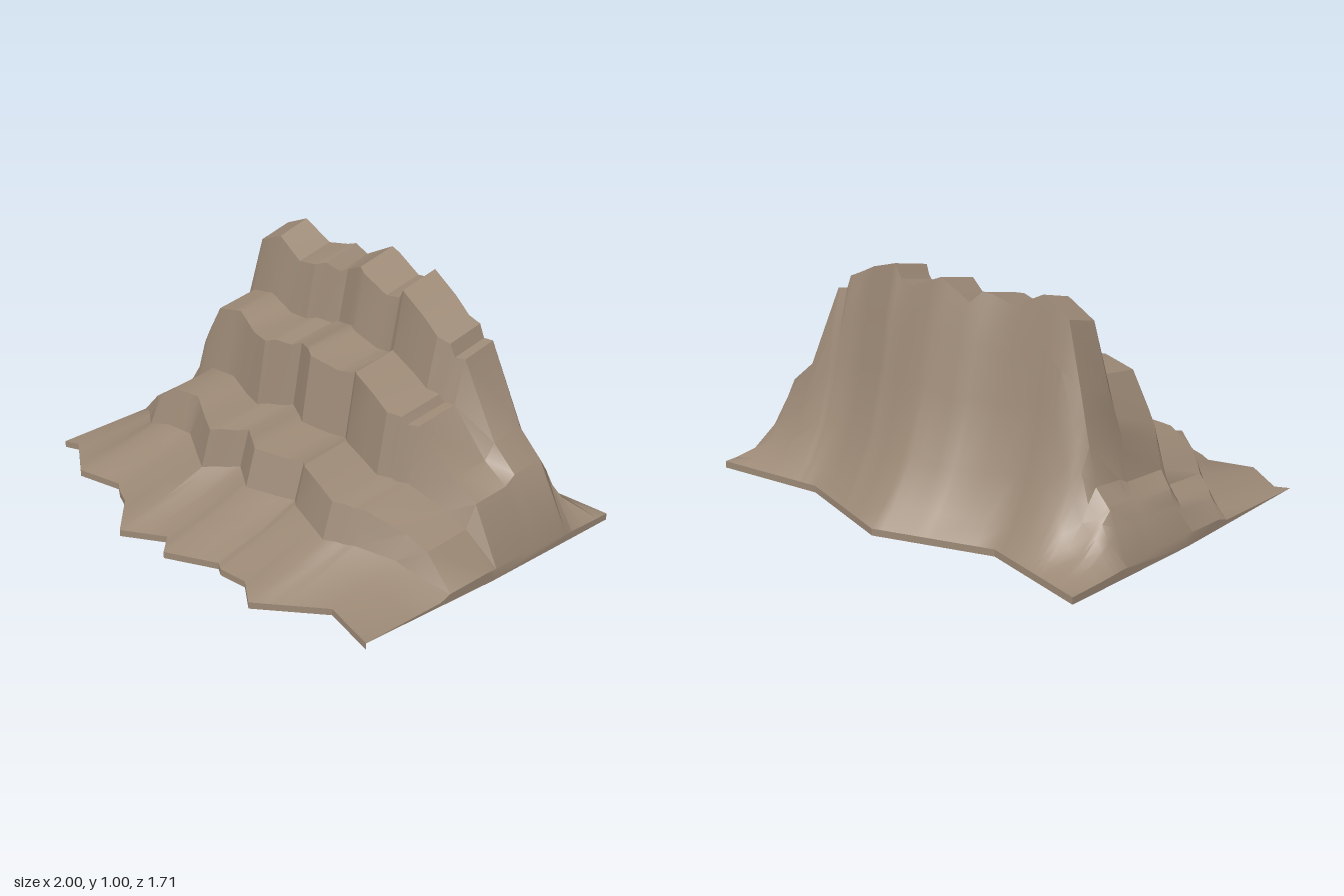
import * as THREE from 'three';
import { toCreasedNormals } from 'three/addons/utils/BufferGeometryUtils.js';

// piecewise linear lookup in a list of [x, value]
function at(keys, x) {
  if (x <= keys[0][0]) return keys[0][1];
  for (let i = 1; i < keys.length; i++) {
    const [x0, v0] = keys[i - 1], [x1, v1] = keys[i];
    if (x <= x1) return v0 + (v1 - v0) * (x - x0) / (x1 - x0);
  }
  return keys[keys.length - 1][1];
}

// plan outlines: z along x
const frontEdge = [[-1, .61], [-.94, .58], [-.75, .7], [-.55, .64], [-.5, .67], [-.42, .7], [-.25, .85],
  [-.08, .73], [0, .81], [.21, .69], [.25, .71], [.38, .69], [.5, .77], [.75, .55], [1, .6]];
const backEdge = [[-1, -.8], [-.5, -.68], [0, -.86], [.2, -.8], [.5, -.71], [1, -.78]];
const ridge = [[-1, -.48], [-.78, -.45], [-.64, -.41], [-.5, -.4], [-.25, -.42], [-.18, -.47], [0, -.49],
  [.22, -.47], [.5, -.41], [.75, -.48], [1, -.48]];

// foot of each riser: z along x
const risers = [
  [[-1, .16], [-.93, .19], [-.75, .31], [-.5, .28], [-.25, .41], [-.15, .28], [0, .37], [.21, .28],
    [.25, .31], [.5, .38], [.75, .21], [1, .2]],
  [[-1, -.07], [-.93, -.06], [-.75, .04], [-.5, .03], [-.25, .1], [-.15, -.02], [0, .06], [.21, .0],
    [.25, .03], [.5, .09], [.59, .03], [.75, -.06], [1, -.06]],
  [[-1, -.32], [-.88, -.3], [-.75, -.22], [-.5, -.2], [-.25, -.18], [-.16, -.29], [0, -.24], [.21, -.25],
    [.25, -.23], [.5, -.18], [.6, -.23], [.75, -.28], [1, -.28]],
];

// skyline height along x
const skyline = [[-1, .04], [-.9, .24], [-.82, .31], [-.78, .46], [-.72, .67], [-.64, .93], [-.5, 1], [-.36, .93],
  [-.22, .965], [-.18, .92], [-.04, 1], [.13, .93], [.2, .945], [.24, 1], [.4, .95], [.55, .88],
  [.57, .82], [.61, .82], [.75, .46], [.87, .36], [1, .04]];

// riser foot, riser top, back of tread, and how fast the level fades at the sides
const levels = [[.165, .335, .365, .6], [.365, .67, .7, .8], [.7, .96, 1, 1]];
const backSlope = [[.15, .8], [.27, .58], [.5, .3], [.8, .11]];

// closed cross-section [z, y] at x: front rim, three steps, ridge, back slope, underside
function section(x) {
  const s = at(skyline, x), zf = at(frontEdge, x), zb = at(backEdge, x), zr = at(ridge, x);
  const rim = .03, feet = risers.map(r => at(r, x));
  const lift = (h, p) => Math.max(rim, h * s ** p);
  const ring = [[zf, rim]];
  const foot = lift(.165, .6);
  ring.push([zf + (feet[0] - zf) * .58, rim + (foot - rim) * .5]);
  levels.forEach(([low, high, back, p], i) => {
    const before = i ? levels[i - 1][3] : p;
    ring.push([feet[i], lift(low, before)]);
    ring.push([feet[i] - .05, lift(high, p)]);
    if (i === 2) ring.push([zr, lift(back, p)]);
  });
  for (const [t, h] of backSlope) ring.push([zr + (zb - zr) * t, rim + (Math.max(s, rim) - rim) * (h - .03) / .97]);
  ring.push([zb, rim], [zb, 0], [zf, 0]);
  return ring;
}

function cliffGeometry() {
  // stations at every corner of the outlines
  const all = [frontEdge, backEdge, ridge, skyline, ...risers].flat().map(k => k[0]);
  const xs = [...new Set(all)].sort((a, b) => a - b);
  const rings = xs.map(section), n = rings[0].length;
  const pos = [], index = [];
  rings.forEach((r, i) => r.forEach(([z, y]) => pos.push(xs[i], y, z)));
  for (let i = 0; i < xs.length - 1; i++) {
    for (let j = 0; j < n; j++) {
      const k = (j + 1) % n, a = i * n + j, b = a + n, c = (i + 1) * n + k, d = i * n + k;
      index.push(a, b, c, a, c, d);
    }
  }
  // thin end walls
  for (const [i, x] of [[0, -1], [xs.length - 1, 1]]) {
    const mid = pos.length / 3;
    pos.push(x, 0, -.1);
    for (let j = 0; j < n - 1; j++) {
      const a = i * n + j, b = a + 1;
      if (x > 0) index.push(mid, b, a); else index.push(mid, a, b);
    }
  }
  const g = new THREE.BufferGeometry();
  g.setAttribute('position', new THREE.Float32BufferAttribute(pos, 3));
  g.setIndex(index);
  return toCreasedNormals(g, .55);
}

export function createModel() {
  const group = new THREE.Group();
  group.name = 'terracedCliff';
  const rock = new THREE.MeshStandardMaterial({ color: 0x9c8976 });
  const cliff = new THREE.Mesh(cliffGeometry(), rock);
  cliff.name = 'steppedRock';
  group.add(cliff);
  return group;
}
